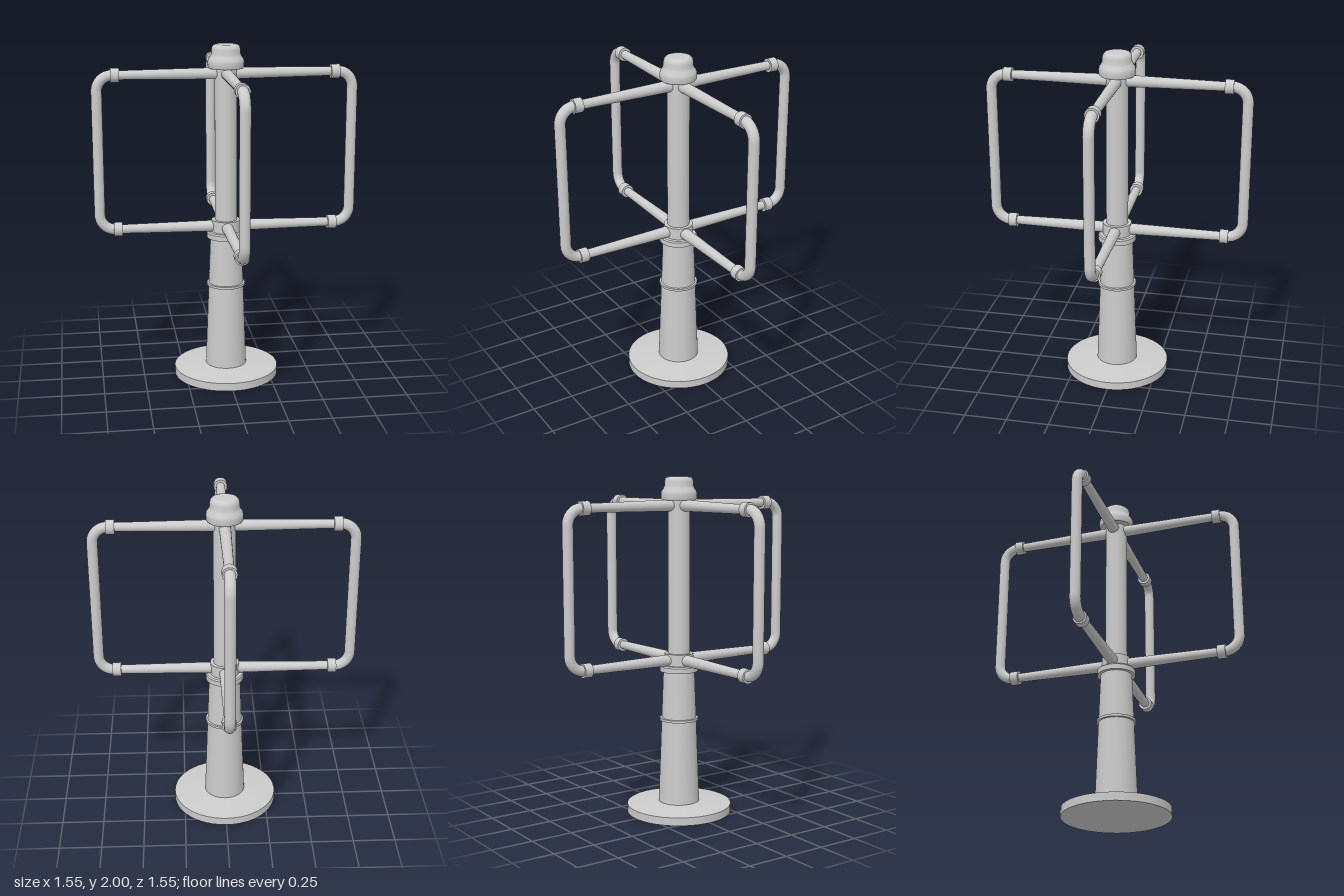
import * as THREE from 'three';

const grey = new THREE.MeshStandardMaterial({ color: 0xcccccc });
const V = (x, y) => new THREE.Vector3(x, y, 0);

function add(parent, name, geometry) {
  const mesh = new THREE.Mesh(geometry, grey);
  mesh.name = name;
  parent.add(mesh);
  return mesh;
}

// Turned part; each straight run becomes its own band so edges stay crisp
function turned(parent, name, ...bands) {
  const group = new THREE.Group();
  group.name = name;
  for (const band of bands) {
    add(group, name + 'Band', new THREE.LatheGeometry(band.map(([r, y]) => new THREE.Vector2(r, y)), 48));
  }
  parent.add(group);
}

// Splits a profile into one hard-edged band per segment
const hard = (points) => points.slice(1).map((p, i) => [points[i], p]);

// Horizontal rod along x from x0 to x1
function rod(parent, name, x0, x1, r0, r1, y, open = false) {
  const g = new THREE.CylinderGeometry(r1, r0, x1 - x0, 24, 1, open);
  g.rotateZ(-Math.PI / 2);
  g.translate((x0 + x1) / 2, y, 0);
  return add(parent, name, g);
}

const LOW = 0.928, HIGH = 1.834, REACH = 0.742, BEND = 0.09;

function createBlade() {
  const blade = new THREE.Group();
  for (const y of [LOW, HIGH]) {
    // Tapered arm and its coupling sleeve
    rod(blade, 'arm', 0.03, 0.62, 0.034, 0.026, y);
    rod(blade, 'sleeve', 0.612, 0.662, 0.041, 0.041, y);
  }

  // Bent outer tube: two elbows joined by an upright
  const path = new THREE.CurvePath();
  const k = REACH - BEND;
  path.add(new THREE.LineCurve3(V(0.63, LOW), V(k, LOW)));
  path.add(new THREE.CubicBezierCurve3(V(k, LOW), V(k + BEND * 0.55, LOW),
    V(REACH, LOW + BEND * 0.45), V(REACH, LOW + BEND)));
  path.add(new THREE.LineCurve3(V(REACH, LOW + BEND), V(REACH, HIGH - BEND)));
  path.add(new THREE.CubicBezierCurve3(V(REACH, HIGH - BEND), V(REACH, HIGH - BEND * 0.45),
    V(k + BEND * 0.55, HIGH), V(k, HIGH)));
  path.add(new THREE.LineCurve3(V(k, HIGH), V(0.63, HIGH)));
  add(blade, 'outerTube', new THREE.TubeGeometry(path, 130, 0.031, 20, false));
  return blade;
}

export function createModel() {
  const model = new THREE.Group();
  model.name = 'verticalRotor';

  // Foot plate with a gently sloped top
  turned(model, 'basePlate', ...hard([[0, 0], [0.312, 0], [0.312, 0.048], [0.13, 0.064], [0, 0.066]]));

  // Tapered pedestal, joint ring and bearing collar
  turned(model, 'pedestal', [[0.122, 0.06], [0.092, 0.87]]);
  turned(model, 'jointRing', ...hard([[0.1, 0.56], [0.114, 0.562], [0.114, 0.576], [0.1, 0.578]]));
  turned(model, 'bearingCollar', ...hard([[0.09, 0.858], [0.112, 0.858], [0.112, 0.888], [0.105, 0.896], [0.08, 0.896]]));
  turned(model, 'lowerHub', ...hard([[0.085, 0.89], [0.085, 0.966], [0.06, 0.966]]));

  // Central mast
  turned(model, 'mast', [[0.065, 0.95], [0.065, 1.88]]);

  // Domed cap with a waist
  turned(model, 'cap',
    [[0, 1.864], [0.098, 1.864]],
    [[0.098, 1.864], [0.104, 1.872], [0.105, 1.9], [0.102, 1.915], [0.09, 1.932], [0.084, 1.948],
      [0.084, 1.97], [0.08, 1.985], [0.07, 1.996], [0.055, 2], [0, 2]]);

  // Four blades around the mast
  for (let i = 0; i < 4; i++) {
    const blade = createBlade();
    blade.name = 'blade' + (i + 1);
    blade.rotation.y = (i * Math.PI) / 2;
    model.add(blade);
  }
  return model;
}
